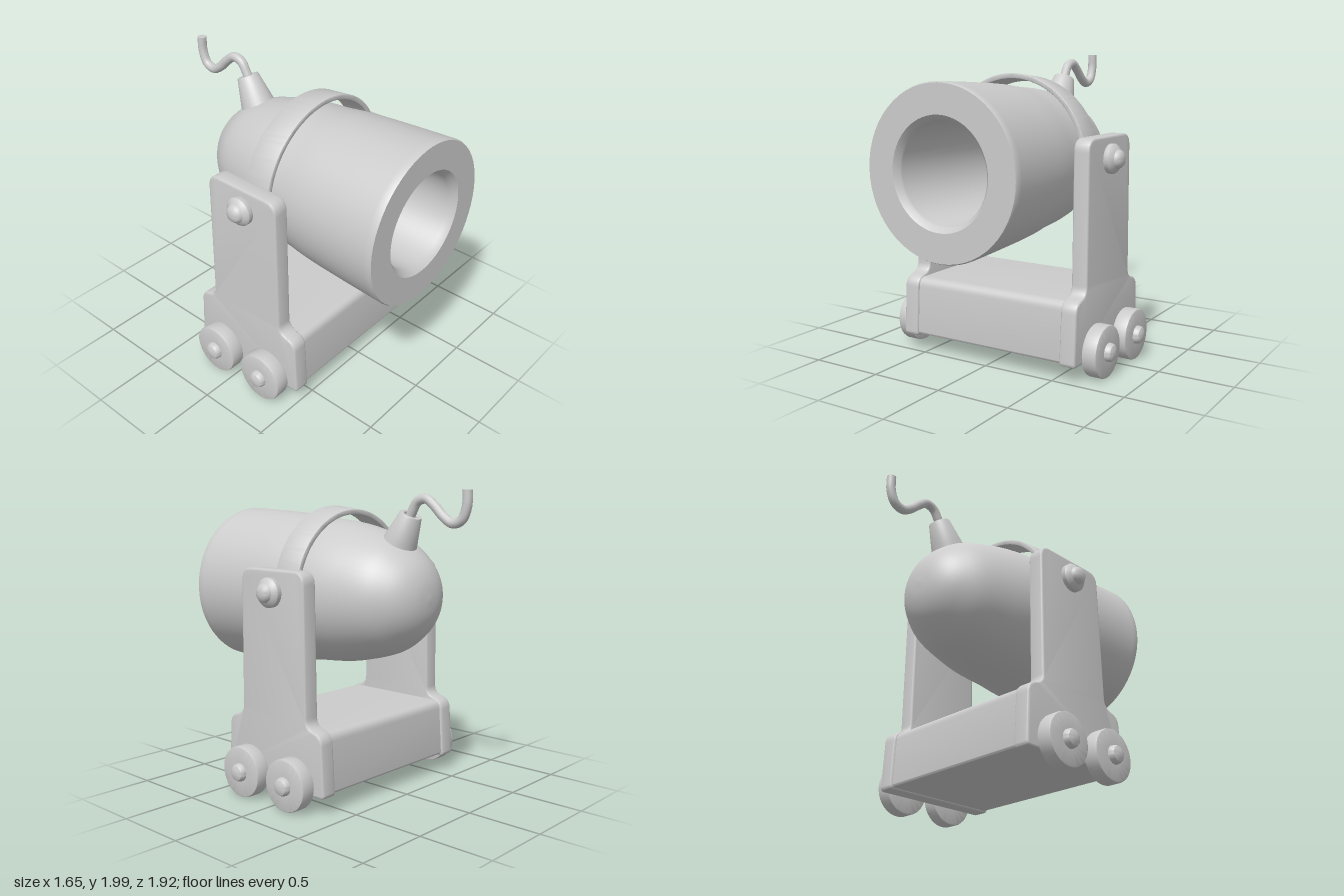
import * as THREE from 'three';
import { toCreasedNormals } from 'three/addons/utils/BufferGeometryUtils.js';

const material = new THREE.MeshStandardMaterial({ color: 0xcccccc, roughness: 0.7 });
const vec = ([a, b]) => new THREE.Vector2(a, b);

function add(parent, name, geometry, crease = 0.6) {
  const mesh = new THREE.Mesh(toCreasedNormals(geometry, crease), material);
  mesh.name = name;
  parent.add(mesh);
  return mesh;
}

// Turned part; profile is [radius, distance along axis]
const turned = (profile, segments = 32) => new THREE.LatheGeometry(profile.map(vec), segments);

// Symmetric outline from a right half listed bottom to top, with rounded corners.
// Each entry is [halfWidth, y, cornerRadius].
function mirroredShape(half) {
  const pts = [...half, ...half.map(([x, y, r]) => [-x, y, r]).reverse()];
  const shape = new THREE.Shape();
  pts.forEach(([x, y, r], i) => {
    const p = vec([x, y]);
    const toward = (q) => p.clone().add(vec(q).sub(p).setLength(r));
    const a = toward(pts[(i + pts.length - 1) % pts.length]);
    const b = toward(pts[(i + 1) % pts.length]);
    if (i === 0) shape.moveTo(a.x, a.y); else shape.lineTo(a.x, a.y);
    shape.quadraticCurveTo(x, y, b.x, b.y);
  });
  shape.closePath();
  return shape;
}

// Plate of the given width, centred on x = 0, outline in the z-y plane
function plate(shape, width, bevel) {
  const g = new THREE.ExtrudeGeometry(shape, {
    depth: width - 2 * bevel, curveSegments: 8,
    bevelEnabled: bevel > 0, bevelSize: bevel, bevelThickness: bevel, bevelOffset: -bevel, bevelSegments: 3,
  });
  g.translate(0, 0, bevel - width / 2);
  return g.rotateY(Math.PI / 2);
}

export function createModel() {
  const model = new THREE.Group();
  model.name = 'wheeledCannon';
  const frameZ = 0.066;

  // Barrel: domed back, flaring body, thick muzzle and hollow bore
  const outer = new THREE.SplineCurve([
    [0, -0.67], [0.11, -0.655], [0.21, -0.61], [0.295, -0.53], [0.373, -0.41],
    [0.432, -0.22], [0.468, -0.04], [0.487, 0.17], [0.51, 0.36], [0.528, 0.65], [0.542, 0.945],
  ].map(vec)).getPoints(50).map((p) => [Math.max(p.x, 0), p.y]);
  const bore = [];
  for (let i = 0; i <= 14; i++) {
    const t = (i / 14) * Math.PI / 2;
    bore.push([0.315 * Math.cos(t), -0.05 - 0.35 * Math.sin(t)]);
  }
  const barrel = turned([...outer, [0.535, 0.96], [0.35, 0.96], [0.32, 0.925], [0.315, 0.91], ...bore], 56);
  add(model, 'barrel', barrel.rotateX(Math.PI / 2)).position.y = 1.318;

  // Strap arching over the barrel, dipping slightly toward the back
  const end = 0.2;
  const arc = new THREE.Shape();
  arc.absarc(0, 0, 0.545, -end, Math.PI + end, false);
  arc.absarc(0, 0, 0.51, Math.PI + end, -end, true);
  arc.closePath();
  const strap = new THREE.ExtrudeGeometry(arc, {
    depth: 0.184, curveSegments: 48, bevelSize: 0.008, bevelThickness: 0.008, bevelOffset: -0.008, bevelSegments: 2,
  });
  strap.translate(0, 1.345, -0.022);
  const pos = strap.attributes.position;
  for (let i = 0; i < pos.count; i++) pos.setY(i, pos.getY(i) - (0.17 - pos.getZ(i)) * 0.11);
  add(model, 'strap', strap);

  // Base beam between the side arms
  const beam = mirroredShape([[0.43, 0.125, 0.025], [0.405, 0.515, 0.06]]);
  add(model, 'baseBeam', plate(beam, 1.14, 0)).position.z = frameZ;

  // Side arms, pivot bolts and wheels
  const armShape = mirroredShape([
    [0.445, 0.113, 0.03], [0.422, 0.51, 0.06], [0.293, 0.545, 0.055], [0.28, 1.508, 0.085],
  ]);
  const boltProfile = [
    [0, 0.5], [0.035, 0.5], [0.035, 0.655], [0.09, 0.655], [0.095, 0.665], [0.095, 0.695], [0.085, 0.708],
    [0.062, 0.722], [0.056, 0.738], [0.043, 0.752], [0.022, 0.759], [0, 0.761],
  ];
  const wheelProfile = [
    [0, 0.65], [0.05, 0.65], [0.05, 0.674], [0.158, 0.674], [0.167, 0.678], [0.17, 0.687], [0.17, 0.763],
    [0.167, 0.772], [0.158, 0.776], [0.06, 0.776], [0.058, 0.797], [0.049, 0.812], [0.028, 0.821], [0, 0.823],
  ];
  for (const side of [1, -1]) {
    const prefix = side > 0 ? 'left' : 'right';
    const turn = -side * Math.PI / 2;
    add(model, prefix + 'Arm', plate(armShape, 0.11, 0.014)).position.set(side * 0.61, 0, frameZ);
    add(model, prefix + 'PivotBolt', turned(boltProfile).rotateZ(turn)).position.set(0, 1.365, 0.07);
    for (const [end, z] of [['Front', 0.272], ['Rear', -0.14]]) {
      add(model, prefix + end + 'Wheel', turned(wheelProfile, 40).rotateZ(turn)).position.set(0, 0.178, z);
    }
  }

  // Tapered fuse socket with a recessed mouth
  const socket = add(model, 'fuseSocket', turned([
    [0.12, -0.06], [0.108, 0], [0.073, 0.165], [0.069, 0.171], [0.047, 0.171], [0.042, 0.165], [0.04, 0.12], [0, 0.12],
  ]));
  socket.position.set(0, 1.69, -0.434);
  socket.quaternion.setFromUnitVectors(
    new THREE.Vector3(0, 1, 0), new THREE.Vector3(0, 0.154, -0.074).normalize());

  // Wavy fuse cord with a flat end
  const path = new THREE.CatmullRomCurve3([
    [1.79, -0.482], [1.86, -0.517], [1.925, -0.56], [1.942, -0.625], [1.9, -0.69],
    [1.835, -0.76], [1.797, -0.83], [1.82, -0.895], [1.9, -0.93], [2, -0.933],
  ].map(([y, z]) => new THREE.Vector3(0, y, z)));
  add(model, 'fuse', new THREE.TubeGeometry(path, 60, 0.031, 14));
  const cap = add(model, 'fuseEnd', new THREE.CircleGeometry(0.031, 14).rotateX(-Math.PI / 2));
  cap.position.set(0, 2, -0.933);

  return model;
}
